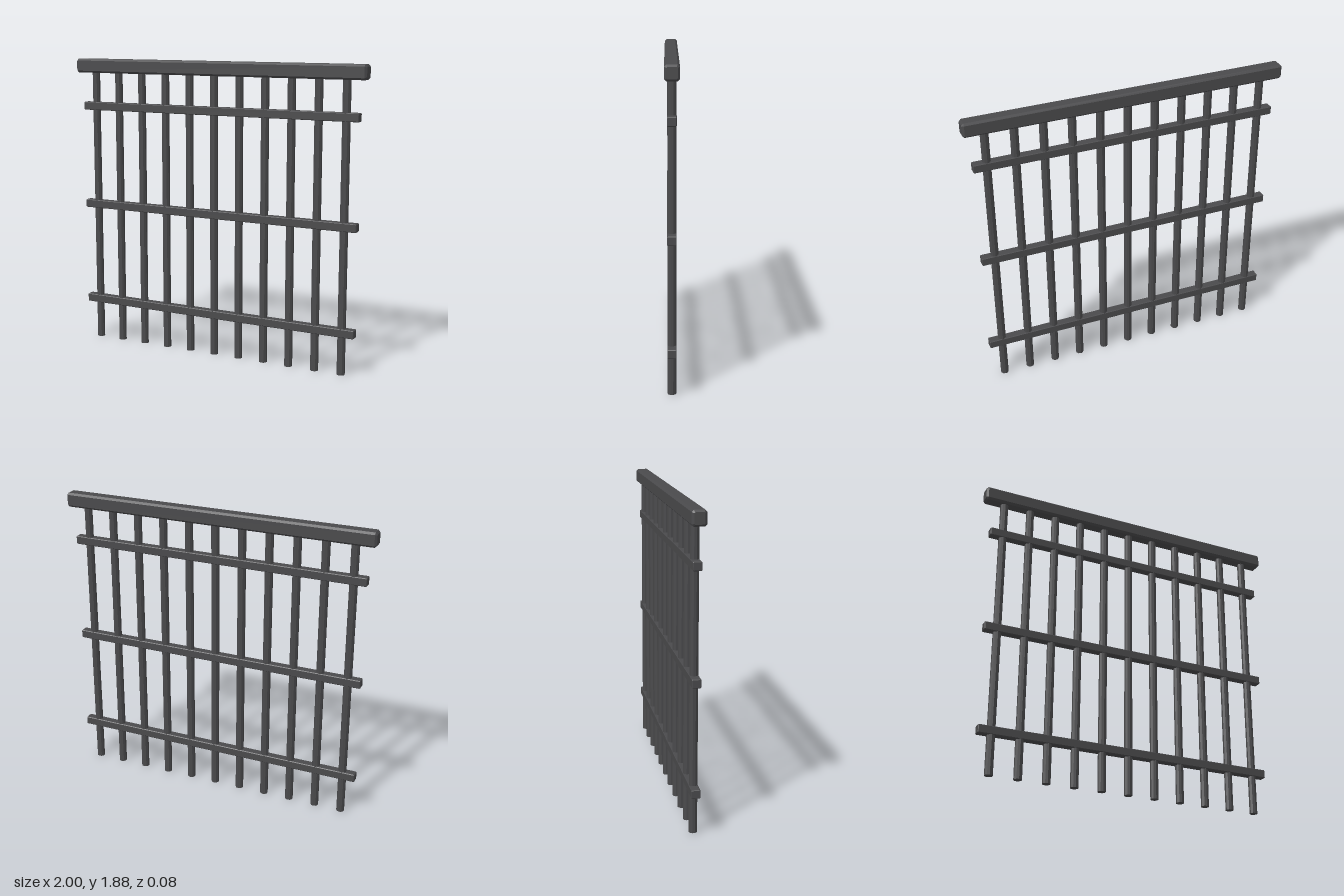
import * as THREE from 'three';

const iron = new THREE.MeshStandardMaterial({ color: 0x4a4a4c, flatShading: true });
iron.name = 'dark iron';

// Horizontal bar along x with all edges chamfered by c
function chamferedBar(name, length, height, depth, c, y) {
  const w = depth / 2, h = height / 2;
  const section = new THREE.Shape([
    [w, -h + c], [w, h - c], [w - c, h], [-w + c, h],
    [-w, h - c], [-w, -h + c], [-w + c, -h], [w - c, -h],
  ].map(([x, v]) => new THREE.Vector2(x, v)));
  const geometry = new THREE.ExtrudeGeometry(section, {
    depth: length - 2 * c, bevelEnabled: true, bevelSegments: 1,
    bevelSize: c, bevelThickness: c, bevelOffset: -c,
  });
  geometry.translate(0, 0, -(length - 2 * c) / 2);
  geometry.rotateY(Math.PI / 2);
  const mesh = new THREE.Mesh(geometry, iron);
  mesh.name = name;
  mesh.position.y = y;
  return mesh;
}

export function createModel() {
  const group = new THREE.Group();
  group.name = 'barredGate';

  // Heavy beam across the top
  group.add(chamferedBar('topBeam', 2, 0.09, 0.084, 0.012, 1.83));

  // Three cross rails
  [0.265, 0.916, 1.568].forEach((y, i) => {
    group.add(chamferedBar(`crossRail${i + 1}`, 1.91, 0.052, 0.052, 0.004, y));
  });

  // Eleven upright bars, ending inside the beam
  const barGeometry = new THREE.CylinderGeometry(0.025, 0.025, 1.81, 10);
  barGeometry.translate(0, 0.905, 0);
  for (let i = 0; i < 11; i++) {
    const bar = new THREE.Mesh(barGeometry, iron);
    bar.name = `uprightBar${i + 1}`;
    bar.position.x = (i - 5) * 0.174;
    group.add(bar);
  }
  return group;
}
